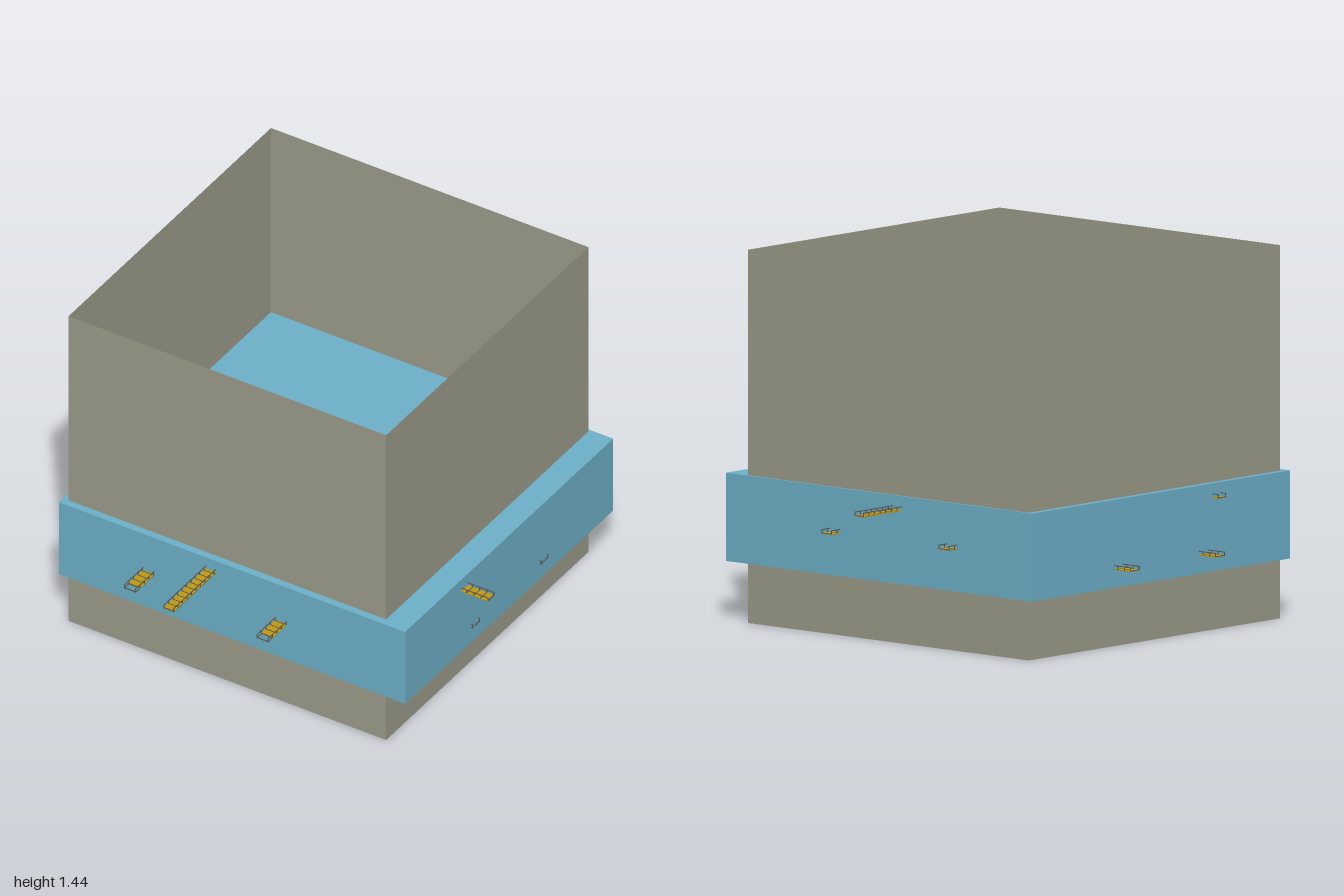
import * as THREE from 'three';

const mat = (name, color, side = THREE.FrontSide) => {
  const m = new THREE.MeshStandardMaterial({ color, side });
  m.name = name;
  return m;
};

export function createModel() {
  const stone = mat('stone', 0x9c9d8b, THREE.DoubleSide);
  const water = mat('water blue', 0x6eb1ca);
  const gold = mat('walkway gold', 0xc29b12);
  const steel = mat('dark steel', 0x5c5a54);
  const rust = mat('rust', 0xa07468);

  const model = new THREE.Group();
  model.name = 'enclosure';

  const add = (parent, name, geometry, material, x = 0, y = 0, z = 0) => {
    const mesh = new THREE.Mesh(geometry, material);
    mesh.name = name;
    mesh.position.set(x, y, z);
    parent.add(mesh);
    return mesh;
  };
  // Box given by its limits on each axis
  const block = (parent, name, material, x0, x1, y0, y1, z0, z1) =>
    add(parent, name, new THREE.BoxGeometry(x1 - x0, y1 - y0, z1 - z0), material,
      (x0 + x1) / 2, (y0 + y1) / 2, (z0 + z1) / 2);

  // Open-topped shell made of thin sheets
  const X0 = -0.775, X1 = 0.66, Z0 = -0.77, Z1 = 0.67, H = 1.44;
  const cx = (X0 + X1) / 2, cz = (Z0 + Z1) / 2, W = X1 - X0, D = Z1 - Z0;
  const shell = new THREE.Group();
  shell.name = 'outerShell';
  model.add(shell);
  add(shell, 'frontWall', new THREE.PlaneGeometry(W, H), stone, cx, H / 2, Z1);
  add(shell, 'backWall', new THREE.PlaneGeometry(W, H), stone, cx, H / 2, Z0).rotation.y = Math.PI;
  add(shell, 'leftWall', new THREE.PlaneGeometry(D, H), stone, X1, H / 2, cz).rotation.y = Math.PI / 2;
  add(shell, 'rightWall', new THREE.PlaneGeometry(D, H), stone, X0, H / 2, cz).rotation.y = -Math.PI / 2;
  add(shell, 'floor', new THREE.PlaneGeometry(W, D), stone, cx, 0, cz).rotation.x = Math.PI / 2;

  // Wide block of water crossing the shell
  block(model, 'waterBlock', water, -0.8, 0.765, 0.23, 0.57, -0.78, 0.7);

  // Walkway along local z: plank floor, crossbars, posts and handrails.
  // The rails may run past the planks at the +z end by `gap`.
  function walkway(name, a, b, width, gap) {
    const g = new THREE.Group();
    g.name = name;
    const h = 0.018, t = 0.003, e = width / 2 - t / 2;
    block(g, 'planks', gold, -width / 2, width / 2, 0, 0.004, a, b - gap);
    for (const s of [-1, 1]) {
      block(g, 'handrail', steel, s * e - t / 2, s * e + t / 2, h - t, h, a, b);
      block(g, 'lowerRail', steel, s * e - t / 2, s * e + t / 2, 0, t, a, b);
    }
    const n = Math.round((b - a) / 0.032);
    const bar = new THREE.BoxGeometry(width, 0.003, 0.004);
    const post = new THREE.BoxGeometry(t, h, t);
    for (let i = 0; i <= n; i++) {
      const z = a + t / 2 + (b - a - t) * i / n;
      add(g, 'crossbar', bar, steel, 0, 0.0035, z);
      for (const s of [-1, 1]) add(g, 'post', post, steel, s * e, h / 2, z);
    }
    model.add(g);
    return g;
  }

  // Walkways running front to back
  for (const [x, y, a, b, w, gap] of [
    [-0.113, 0.513, -1, 1, 0.047, 0],
    [-0.394, 0.394, -0.83, 0.835, 0.053, 0.032],
    [0.205, 0.394, -0.83, 0.835, 0.053, 0.032],
  ]) walkway('longWalkway', a, b, w, gap).position.set(x, y, 0);

  // Walkways running side to side
  for (const [z, y, a, b, w, gap] of [
    [0.277, 0.513, -0.83, 0.885, 0.045, 0],
    [0.204, 0.3, -0.885, 0.772, 0.053, 0.01],
    [-0.283, 0.3, -0.885, 0.772, 0.053, 0.01],
  ]) {
    const g = walkway('crossWalkway', a, b, w, gap);
    g.rotation.y = Math.PI / 2;
    g.position.set(0, y, z);
  }

  // Small settlement standing on the water
  const site = new THREE.Group();
  site.name = 'settlement';
  site.position.y = 0.565;
  model.add(site);

  // Right-hand hut with roof hatch
  block(site, 'rightHut', stone, -0.455, -0.24, 0, 0.08, 0.045, 0.21);
  const outline = (name, x, z, w, d, y, turn = 0) => {
    const g = new THREE.Group();
    g.name = name;
    g.position.set(x, y, z);
    g.rotation.y = turn;
    for (const s of [-1, 1]) {
      block(g, 'edge', steel, -w / 2, w / 2, 0, 0.005, s * d / 2 - 0.002, s * d / 2 + 0.002);
      block(g, 'edge', steel, s * w / 2 - 0.002, s * w / 2 + 0.002, 0, 0.005, -d / 2, d / 2);
    }
    site.add(g);
  };
  outline('roofHatch', -0.412, 0.075, 0.075, 0.055, 0.08);
  block(site, 'roofStep', gold, -0.35, -0.275, 0.08, 0.088, 0.06, 0.073);

  // Left-hand hut with roof fittings
  block(site, 'leftHut', stone, 0.152, 0.32, 0, 0.08, -0.2, 0.025);
  outline('turnedHatch', 0.276, -0.032, 0.06, 0.05, 0.08, Math.PI / 4);
  outline('roofVent', 0.2, -0.178, 0.055, 0.025, 0.08);
  outline('roofVent', 0.268, -0.178, 0.05, 0.025, 0.08);
  block(site, 'skylight', water, 0.178, 0.2, 0.08, 0.084, -0.107, -0.083);

  // Thin screen walls
  for (const [x0, x1, z0, z1] of [
    [-0.455, -0.28, -0.113, -0.106],
    [-0.284, -0.277, -0.113, 0.045],
    [0.058, 0.065, -0.113, 0.108],
    [0.06, 0.15, -0.113, -0.106],
    [0.06, 0.23, 0.102, 0.108],
  ]) block(site, 'screenWall', rust, x0, x1, 0, 0.07, z0, z1);

  // Twin beams joining the screens
  for (const z of [-0.03, 0.025])
    block(site, 'bridgeBeam', rust, -0.28, 0.06, 0.03, 0.04, z - 0.005, z + 0.005);

  // Stair beside the left hut
  for (let i = 0; i < 10; i++) {
    const x = 0.068 + i * 0.016;
    block(site, 'stairTread', gold, x, x + 0.013, 0, 0.015 + i * 0.006, 0.086, 0.101);
  }
  block(site, 'stairRail', steel, 0.066, 0.23, 0.07, 0.075, 0.083, 0.086);

  // Slim dotted line of rungs
  const rung = new THREE.BoxGeometry(0.006, 0.006, 0.011);
  for (let i = 0; i < 42; i++) add(site, 'rung', rung, gold, 0.095, 0.09, -0.325 + i * 0.016);

  // Ball with a seam
  add(site, 'ball', new THREE.SphereGeometry(0.055, 32, 20), stone, -0.112, 0.055, 0.275);
  const seam = add(site, 'ballSeam', new THREE.TorusGeometry(0.0548, 0.001, 6, 40), steel, -0.112, 0.055, 0.275);
  seam.rotation.y = 0.1;

  return model;
}
